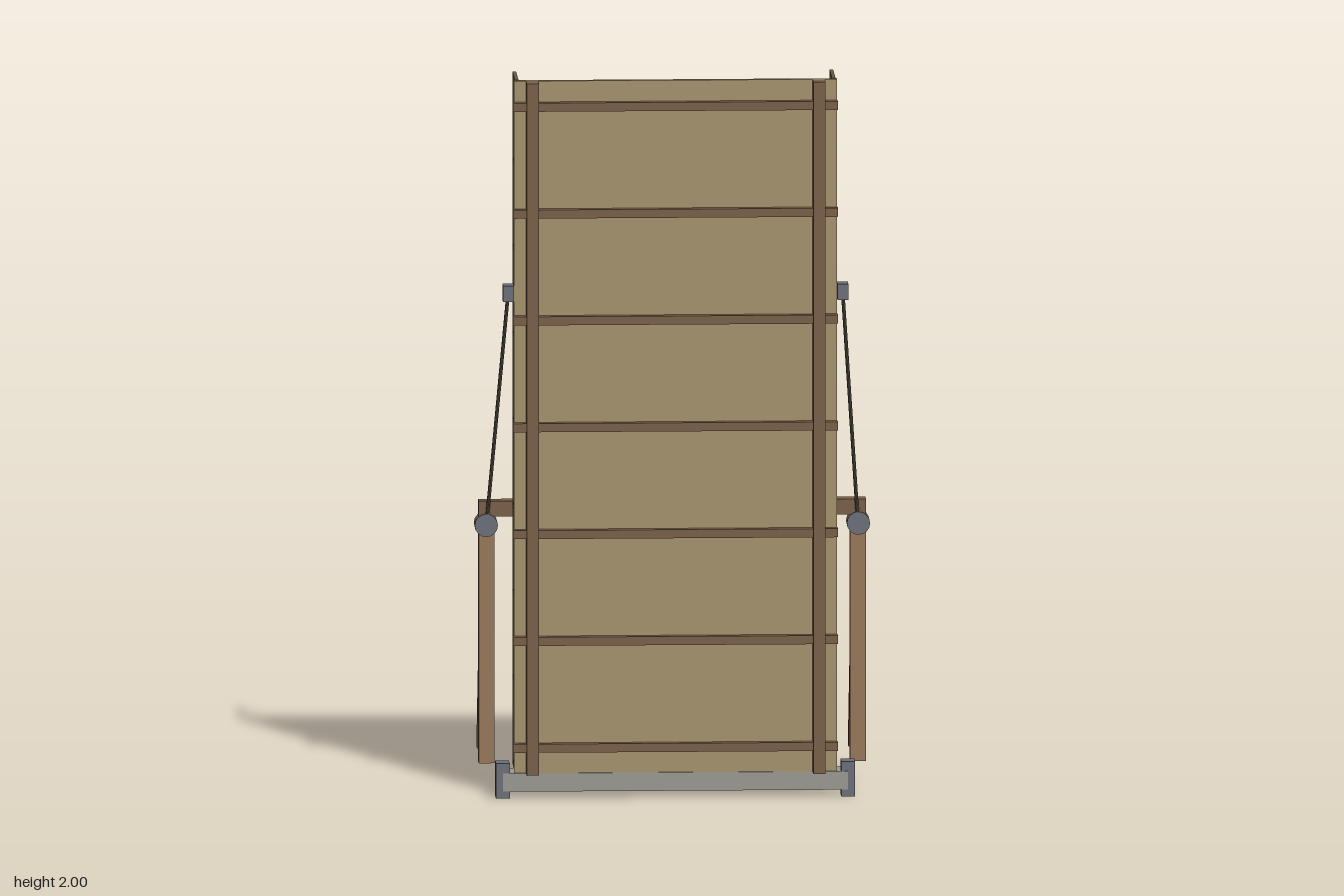
import * as THREE from 'three';

const mat = (color) => new THREE.MeshStandardMaterial({ color, flatShading: true });

export function createModel() {
  const model = new THREE.Group();
  const plank = mat(0xa8946f), darkWood = mat(0x7a6048), postWood = mat(0x98795a);
  const railWood = mat(0x6b5a45), iron = mat(0x6c7078), rope = mat(0x5c5a4c), stone = mat(0x9c9a94);

  const add = (name, geometry, material) => {
    const mesh = new THREE.Mesh(geometry, material);
    mesh.name = name;
    model.add(mesh);
    return mesh;
  };
  // Box given by its lower and upper limits on each axis
  const box = (name, material, [x0, x1], [y0, y1], [z0, z1]) =>
    add(name, new THREE.BoxGeometry(x1 - x0, y1 - y0, z1 - z0), material)
      .position.set((x0 + x1) / 2, (y0 + y1) / 2, (z0 + z1) / 2);
  // Turns a mesh so that its y axis spans two points
  const span = (mesh, a, b) => {
    mesh.position.copy(a).add(b).multiplyScalar(0.5);
    mesh.quaternion.setFromUnitVectors(new THREE.Vector3(0, 1, 0), b.clone().sub(a).normalize());
  };

  // Raised deck with cross battens
  box('deck', plank, [-0.445, 0.445], [0.073, 2], [0.21, 0.228]);
  for (let i = 0; i < 7; i++) {
    const y = 0.145 + i * 0.2975;
    box('batten', darkWood, [-0.447, 0.447], [y - 0.012, y + 0.012], [0.226, 0.252]);
  }

  // Sill under the deck and beam over the posts
  box('sill', stone, [-0.475, 0.475], [0.022, 0.073], [0.135, 0.232]);
  box('crossbeam', darkWood, [-0.534, 0.534], [0.757, 0.8], [-0.022, 0.022]);

  for (const s of [-1, 1]) {
    const sideBox = (name, material, cx, w, y, z) =>
      box(name, material, [s * cx - w / 2, s * cx + w / 2], y, z);

    sideBox('stringer', darkWood, 0.395, 0.034, [0.073, 2], [0.226, 0.278]);
    sideBox('hingeBlock', iron, 0.476, 0.038, [0.003, 0.1], [0.175, 0.231]);
    sideBox('cableAnchor', iron, 0.461, 0.03, [1.388, 1.432], [0.2, 0.246]);
    sideBox('post', postWood, 0.512, 0.043, [0.07, 0.757], [-0.021, 0.021]);

    // Railing: two long rails joined to the deck by short struts
    for (const z of [0.133, 0.054])
      sideBox('rail', railWood, 0.437, 0.01, [0.073, 2], [z - 0.005, z + 0.005]);
    for (let i = 0; i < 9; i++) {
      const y = 0.078 + i * 0.2397;
      sideBox('railStrut', railWood, 0.437, 0.01, [y - 0.005, y + 0.005], [0.05, 0.212]);
    }

    // Pulley on the post head
    const pulley = add('pulley', new THREE.CylinderGeometry(0.032, 0.032, 0.057, 16), iron);
    pulley.rotation.x = Math.PI / 2;
    pulley.position.set(s * 0.513, 0.733, 0);

    // Slanted brace behind the post
    const top = new THREE.Vector3(s * 0.512, 0.72, 0);
    const foot = new THREE.Vector3(s * 0.512, 0.076, -0.264);
    span(add('brace', new THREE.BoxGeometry(0.031, top.distanceTo(foot), 0.03), postWood), foot, top);

    // Lifting cable
    const low = new THREE.Vector3(s * 0.512, 0.735, 0.012);
    const high = new THREE.Vector3(s * 0.461, 1.41, 0.222);
    span(add('cable', new THREE.CylinderGeometry(0.005, 0.005, low.distanceTo(high), 8), rope), low, high);
  }
  return model;
}
